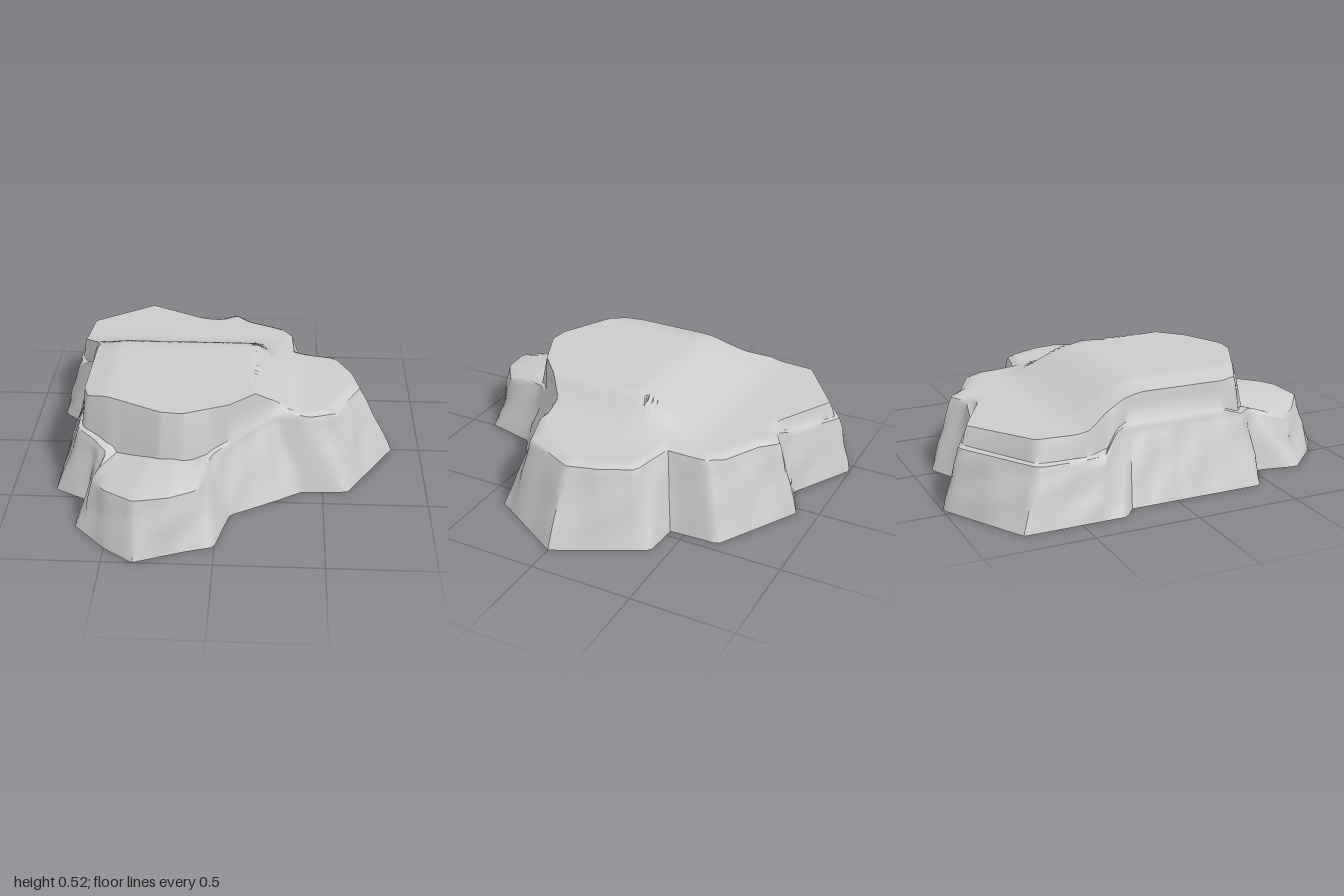
import * as THREE from 'three';
import { toCreasedNormals } from 'three/addons/utils/BufferGeometryUtils.js';

const CX = -0.2, CZ = 0, SPOKES = 240;

// Outline on the ground: x, z
const ground = [
  [0.86, 0], [0.62, 0.4], [0.4, 0.41], [0.26, 0.5], [0.06, 0.62], [0.03, 0.74], [0, 0.87], [-0.13, 0.91],
  [-0.36, 1], [-0.5, 0.9], [-0.66, 0.73], [-0.62, 0.53], [-0.79, 0.44], [-0.79, -0.23],
  [-0.86, -0.28], [-0.86, -0.77], [-0.45, -1], [-0.13, -0.82], [0.04, -0.9], [0.45, -0.67],
  [0.46, -0.43], [0.64, -0.42],
];
// Top of the lower cliff: x, z, y
const ledge = [
  [0.69, 0, 0.34], [0.56, 0.27, 0.35], [0.4, 0.32, 0.35], [0.27, 0.32, 0.35], [0.2, 0.37, 0.34],
  [0.08, 0.48, 0.31], [-0.02, 0.58, 0.28], [-0.05, 0.7, 0.27], [-0.08, 0.8, 0.26], [-0.2, 0.88, 0.27],
  [-0.36, 0.9, 0.26], [-0.5, 0.79, 0.24], [-0.57, 0.68, 0.23], [-0.53, 0.56, 0.26], [-0.59, 0.48, 0.28],
  [-0.68, 0.4, 0.3], [-0.67, 0.3, 0.33], [-0.67, -0.2, 0.33], [-0.71, -0.27, 0.31], [-0.79, -0.36, 0.24],
  [-0.79, -0.67, 0.24], [-0.46, -0.93, 0.26], [-0.17, -0.77, 0.28], [-0.05, -0.75, 0.33],
  [0.04, -0.8, 0.34], [0.12, -0.72, 0.34], [0.3, -0.63, 0.35], [0.35, -0.55, 0.35], [0.36, -0.36, 0.35],
  [0.46, -0.33, 0.35], [0.57, -0.31, 0.35], [0.65, -0.15, 0.35],
];
// Edge of the upper surface: x, z
const rim = [
  [0.64, 0], [0.51, 0.24], [0.4, 0.29], [0.26, 0.29], [0.19, 0.35], [0.05, 0.48], [-0.16, 0.57], [-0.26, 0.56],
  [-0.62, 0.38], [-0.645, 0.3], [-0.64, -0.2], [-0.67, -0.3], [-0.75, -0.42], [-0.73, -0.66],
  [-0.43, -0.87], [-0.15, -0.72], [-0.04, -0.7], [0.04, -0.75], [0.11, -0.68], [0.28, -0.6],
  [0.32, -0.53], [0.33, -0.33], [0.45, -0.3], [0.55, -0.28], [0.62, -0.13],
];

// Where a ray from the centre crosses an outline: its radius and height
function cross(outline, angle) {
  const dx = Math.cos(angle), dz = Math.sin(angle);
  let best = { r: 0, y: 0 };
  outline.forEach((p, i) => {
    const q = outline[(i + 1) % outline.length];
    const px = p[0] - CX, pz = p[1] - CZ, ex = q[0] - p[0], ez = q[1] - p[1];
    const den = dx * ez - dz * ex;
    if (Math.abs(den) < 1e-9) return;
    const r = (px * ez - pz * ex) / den, t = (px * dz - pz * dx) / den;
    if (t >= -1e-6 && t <= 1 + 1e-6 && r > best.r) best = { r, y: (p[2] ?? 0) + t * ((q[2] ?? 0) - (p[2] ?? 0)) };
  });
  return best;
}

// High table that eases down to the low shelf at the right and the back
function topHeight(x, z) {
  const side = THREE.MathUtils.clamp((0.42 - x) / 0.25, 0, 1) ** 1.8;
  const back = THREE.MathUtils.smoothstep(z, -0.5, -0.08);
  const edge = 0.03 * THREE.MathUtils.smoothstep(-x, 0.5, 0.66);
  return 0.375 + (0.145 - edge) * side * back;
}

// Points of one upright section, from the underside centre to the top centre
function section(angle) {
  const dx = Math.cos(angle), dz = Math.sin(angle);
  const g = cross(ground, angle), l = cross(ledge, angle), p = cross(rim, angle);
  const top = (r) => topHeight(CX + r * dx, CZ + r * dz);
  const points = [[0, 0], [g.r, 0]];

  // Lower cliff with a slightly uneven face
  for (const t of [0.2, 0.4, 0.6, 0.8, 0.93]) {
    const bump = 0.012 * Math.sin(t * Math.PI) * Math.sin(angle * 17 + t * 5) * Math.cos(angle * 7 - t * 3);
    points.push([THREE.MathUtils.lerp(g.r, l.r, t) + bump, l.y * t]);
  }
  points.push([l.r, l.y]);

  // Ledge, then the foot of the upper wall
  const rimY = top(p.r);
  const gap = l.r - p.r;
  const footR = p.r + Math.min(0.05, gap * 0.5);
  const footY = Math.min(rimY - 0.01, l.y + 0.035);
  points.push([THREE.MathUtils.lerp(l.r, footR, 0.3), THREE.MathUtils.lerp(l.y, footY, 0.75)]);
  points.push([footR, footY]);
  points.push([THREE.MathUtils.lerp(footR, p.r, 0.6), THREE.MathUtils.lerp(footY, rimY, 0.7)]);

  // Upper surface
  const rings = 18;
  for (let i = 0; i <= rings; i++) {
    const r = p.r * (1 - i / rings);
    points.push([r, top(r)]);
  }
  return points.map(([r, y]) => [CX + r * dx, y, CZ + r * dz]);
}

export function createModel() {
  const positions = [], index = [];
  let n = 0;
  for (let j = 0; j < SPOKES; j++) {
    const s = section((j / SPOKES) * Math.PI * 2);
    n = s.length;
    positions.push(...s.flat());
  }
  for (let j = 0; j < SPOKES; j++) {
    const a = j * n, b = ((j + 1) % SPOKES) * n;
    for (let i = 0; i < n - 1; i++) {
      if (i > 0) index.push(a + i, a + i + 1, b + i);
      if (i < n - 2) index.push(b + i, a + i + 1, b + i + 1);
    }
  }
  const geometry = new THREE.BufferGeometry();
  geometry.setAttribute('position', new THREE.Float32BufferAttribute(positions, 3));
  geometry.setIndex(index);

  const rock = new THREE.Mesh(
    toCreasedNormals(geometry, 0.8),
    new THREE.MeshStandardMaterial({ color: 0xcccccc }),
  );
  rock.name = 'rockPlateau';
  const group = new THREE.Group();
  group.name = 'rockFormation';
  group.add(rock);
  return group;
}
